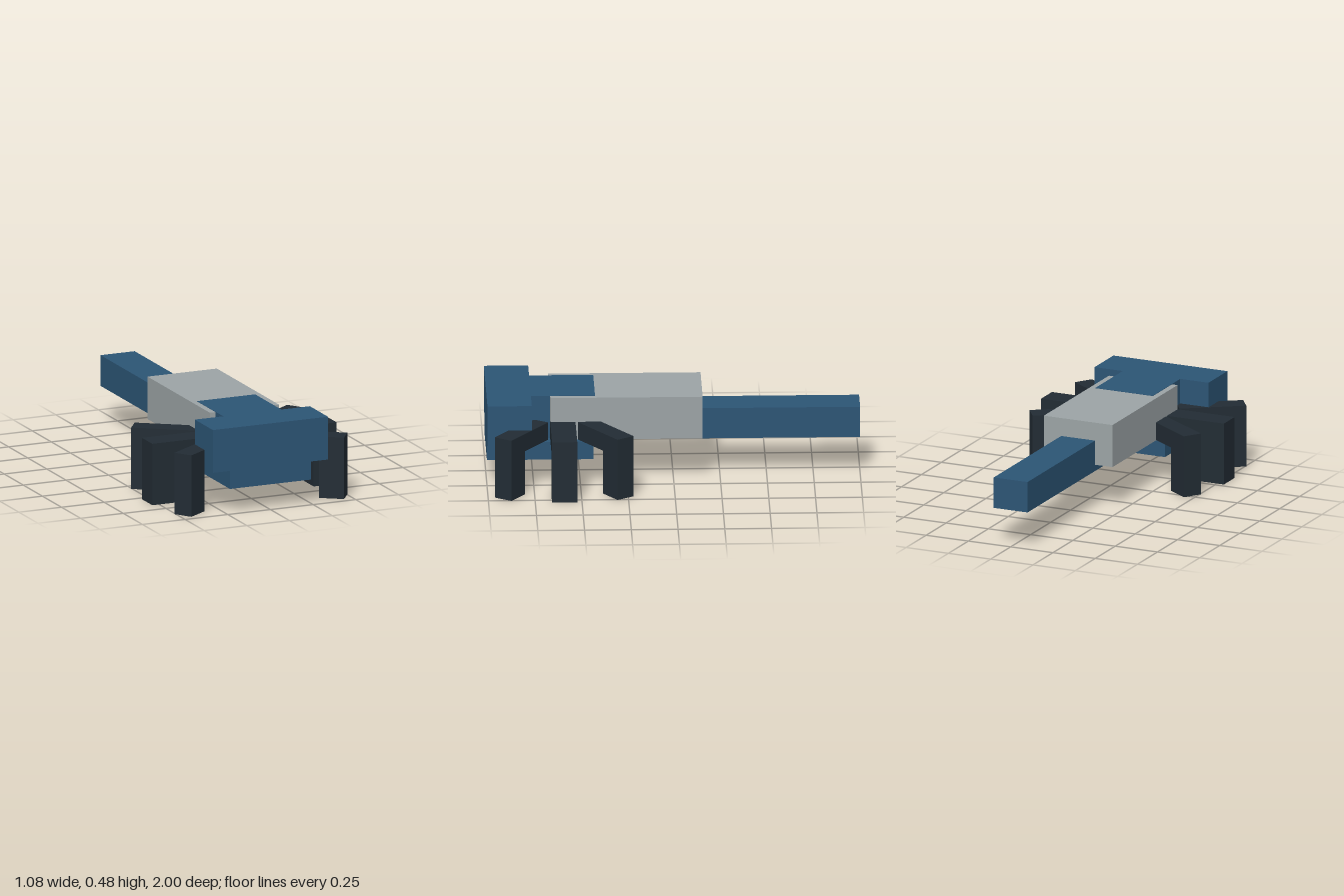
import * as THREE from 'three';

const paint = (name, color) => {
  const m = new THREE.MeshStandardMaterial({ color });
  m.name = name;
  return m;
};

// Box given by its min and max along each axis
function block(name, material, [x0, x1], [y0, y1], [z0, z1]) {
  const mesh = new THREE.Mesh(new THREE.BoxGeometry(x1 - x0, y1 - y0, z1 - z0), material);
  mesh.position.set((x0 + x1) / 2, (y0 + y1) / 2, (z0 + z1) / 2);
  mesh.name = name;
  return mesh;
}

// Bent leg reaching along its own +x from the hip
function makeLeg(name, material, width) {
  const leg = new THREE.Group();
  leg.name = name;
  const reach = 0.362, foot = 0.135, z = [-width / 2, width / 2];
  leg.add(
    block('upperLeg', material, [0, reach], [0.242, 0.34], z),
    block('lowerLeg', material, [reach - foot, reach], [0, 0.242], z)
  );
  return leg;
}

export function createModel() {
  const model = new THREE.Group();
  model.name = 'blockInsect';
  const blue = paint('blue', 0x2c5575);
  const grey = paint('grey', 0x9ca4a6);
  const dark = paint('darkSlate', 0x222c34);

  // Body, with the neck plate a hair above the grey top
  model.add(
    block('tail', blue, [-0.1, 0.1], [0.205, 0.375], [-1, 0.45]),
    block('thorax', grey, [-0.203, 0.203], [0.24, 0.475], [-0.155, 0.66]),
    block('neck', blue, [-0.17, 0.17], [0.24, 0.477], [0.42, 0.77]),
    block('head', blue, [-0.337, 0.337], [0.24, 0.477], [0.763, 1]),
    block('jaw', blue, [-0.237, 0.237], [0.14, 0.24], [0.43, 1])
  );

  // Three pairs of legs: hip z, splay towards the front, width
  const legs = [
    ['frontLeg', 0.716, 0.6, 0.105],
    ['middleLeg', 0.593, 0, 0.135],
    ['rearLeg', 0.47, -0.6, 0.105]
  ];
  for (const [name, z, splay, width] of legs) {
    for (const side of [1, -1]) {
      const leg = makeLeg(name + (side > 0 ? 'Left' : 'Right'), dark, width);
      leg.position.set(side * 0.178, 0, z);
      leg.rotation.y = side > 0 ? -splay : Math.PI + splay;
      model.add(leg);
    }
  }
  return model;
}
